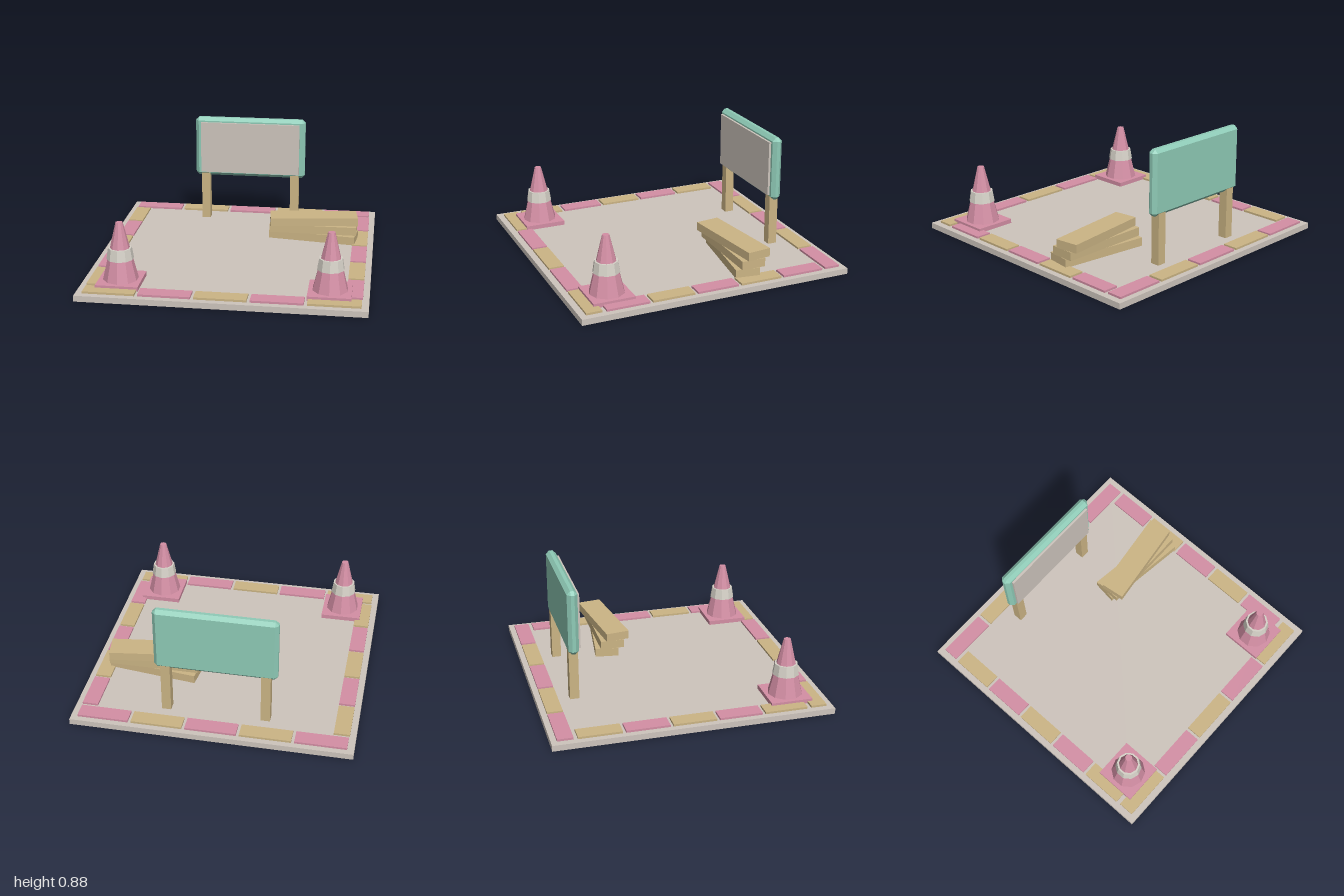
import * as THREE from 'three';
import { ConvexGeometry } from 'three/addons/geometries/ConvexGeometry.js';

function material(name, color) {
  const m = new THREE.MeshStandardMaterial({ color });
  m.name = name;
  return m;
}

// Box with every edge cut at 45 degrees
function chamferedBox(w, h, d, c) {
  const half = [w / 2, h / 2, d / 2];
  const points = [];
  for (let axis = 0; axis < 3; axis++) {
    for (const sx of [-1, 1]) for (const sy of [-1, 1]) for (const sz of [-1, 1]) {
      const p = half.map((v, i) => (i === axis ? v : v - c));
      points.push(new THREE.Vector3(p[0] * sx, p[1] * sy, p[2] * sz));
    }
  }
  return new ConvexGeometry(points);
}

export function createModel() {
  const stone = material('stone', 0xcec5bd);
  const pink = material('pink', 0xd48fa5);
  const tan = material('tan', 0xccb585);
  const teal = material('teal', 0x8fcbb7);
  const white = material('white', 0xd6d2c8);
  for (const m of [pink, white]) m.flatShading = true;

  const model = new THREE.Group();
  model.name = 'roadworksPlot';

  function add(parent, name, geometry, mat, x, y, z) {
    const mesh = new THREE.Mesh(geometry, mat);
    mesh.name = name;
    mesh.position.set(x, y, z);
    parent.add(mesh);
    return mesh;
  }
  const box = (w, h, d) => new THREE.BoxGeometry(w, h, d);

  // Ground slab
  const ground = 0.043;
  add(model, 'groundSlab', box(2, ground, 2), stone, 0, ground / 2, 0);

  // Border tiles in alternating colours
  const border = new THREE.Group();
  border.name = 'borderTiles';
  model.add(border);
  for (let i = 0; i < 5; i++) {
    const a = i % 2 ? tan : pink;
    const b = i % 2 ? pink : tan;
    const x = (i - 2) * 0.385;
    const z = (i - 2) * 0.33 - 0.004;
    const y = ground + 0.0075;
    add(border, 'backTile', box(0.363, 0.015, 0.113), a, x, y, -0.902);
    add(border, 'frontTile', box(0.363, 0.015, 0.113), b, x, y, 0.897);
    add(border, 'rightTile', box(0.113, 0.015, 0.308), b, -0.9, y, z);
    add(border, 'leftTile', box(0.113, 0.015, 0.308), a, 0.9, y, z);
  }

  // Traffic cones
  for (const side of [-1, 1]) {
    const cone = new THREE.Group();
    cone.name = side < 0 ? 'rightCone' : 'leftCone';
    cone.position.set(side * 0.73, 0, 0.725);
    model.add(cone);
    add(cone, 'coneBase', box(0.3, 0.032, 0.3), pink, 0, 0.059, 0);
    add(cone, 'coneBody', new THREE.CylinderGeometry(0.025, 0.125, 0.415, 10), pink, 0, 0.2825, 0);
    add(cone, 'coneBand', new THREE.CylinderGeometry(0.083, 0.096, 0.08, 10), white, 0, 0.265, 0);
  }

  // Sign board on two posts
  const sign = new THREE.Group();
  sign.name = 'signBoard';
  sign.position.z = -0.727;
  model.add(sign);
  add(sign, 'signFrame', chamferedBox(0.87, 0.475, 0.075, 0.025), teal, 0, 0.6385, 0);
  add(sign, 'signPanel', box(0.78, 0.405, 0.03), stone, 0, 0.637, 0.039);
  for (const side of [-1, 1]) {
    add(sign, 'signPost', box(0.067, 0.38, 0.067), tan, side * 0.355, 0.233, 0);
  }

  // Stack of crossed planks
  const planks = new THREE.Group();
  planks.name = 'plankStack';
  planks.position.set(0.54, 0, -0.315);
  model.add(planks);
  [-0.13, 0, 0.13].forEach((angle, i) => {
    const plank = add(planks, 'plank', box(0.662, 0.0625, 0.177), tan, 0, 0.083 + i * 0.0625, 0);
    plank.rotation.y = angle;
  });

  return model;
}
